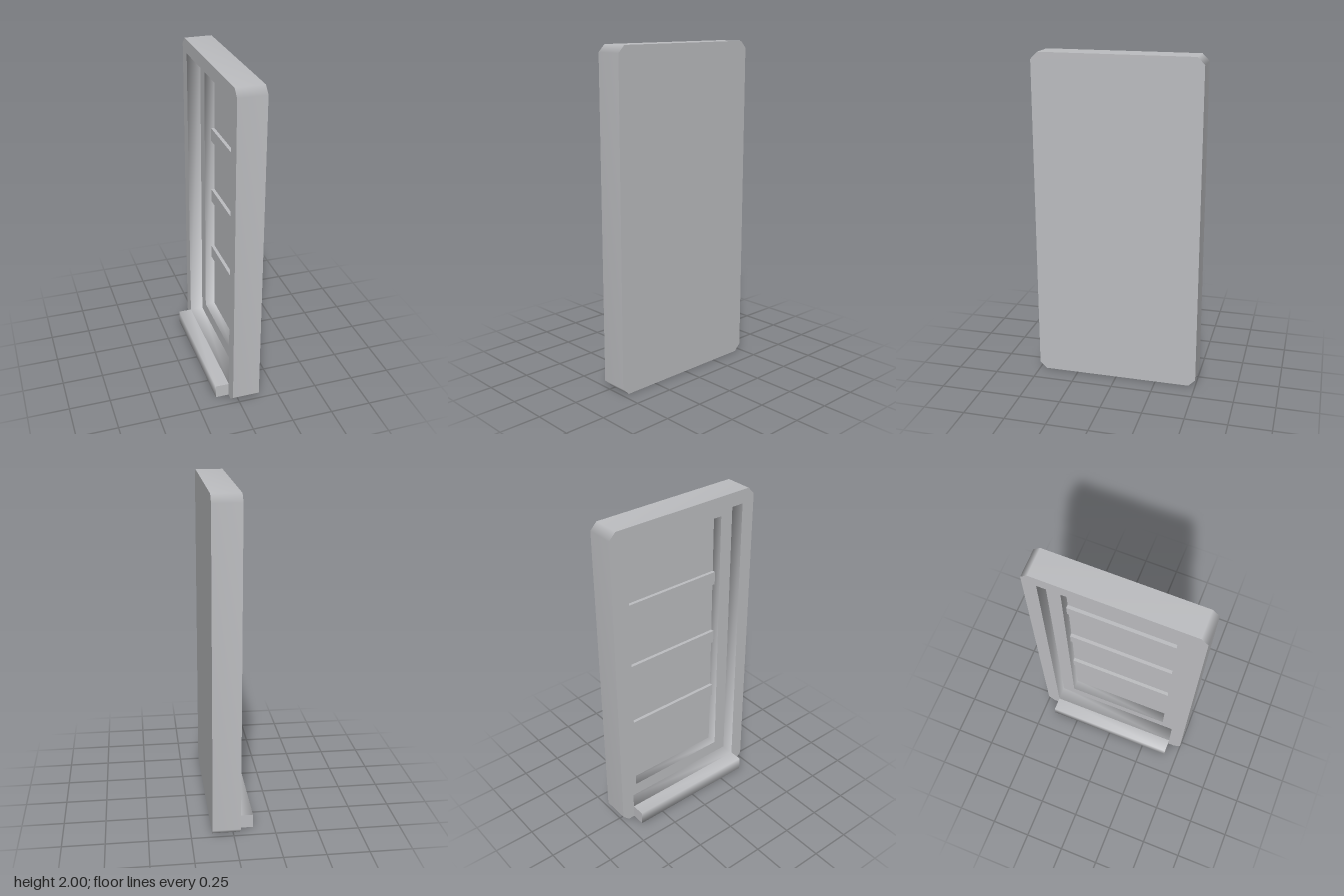
import * as THREE from 'three';

const U = 1 / 24; // modelling unit: the panel is 48 units tall
const grey = new THREE.MeshStandardMaterial({ color: 0xbcbdc0 });
grey.name = 'light grey';

// Outline in the (z, y) plane, counter-clockwise, with optional cut corners
function outline(halfWidth, bottom, top, cut = 0) {
  const w = halfWidth, c = cut;
  if (!c) return [[-w, bottom], [w, bottom], [w, top], [-w, top]];
  return [
    [-w + c, bottom], [w - c, bottom], [w, bottom + c], [w, top - c],
    [w - c, top], [-w + c, top], [-w, top - c], [-w, bottom + c],
  ];
}

const toVectors = (pts) => pts.map(([u, v]) => new THREE.Vector2(u, v));

// Flat face at a given x, looking along -x (side -1) or +x (side 1)
function face(pts, x, side, hole) {
  const shape = new THREE.Shape(toVectors(pts));
  if (hole) shape.holes.push(new THREE.Path(toVectors(hole)));
  const g = new THREE.ShapeGeometry(shape);
  g.rotateY(side * Math.PI / 2);
  g.translate(x, 0, 0);
  return g;
}

// Smooth band following a closed outline from xa to xb (xa < xb)
function wall(pts, xa, xb, inward) {
  const pos = [], idx = [], n = pts.length;
  for (const [u, v] of pts) pos.push(xa, v, u, xb, v, u);
  for (let i = 0; i < n; i++) {
    const a = 2 * i, b = a + 1, c = 2 * ((i + 1) % n), d = c + 1;
    if (inward) idx.push(a, c, b, b, c, d);
    else idx.push(a, b, c, b, d, c);
  }
  const g = new THREE.BufferGeometry();
  g.setAttribute('position', new THREE.Float32BufferAttribute(pos, 3));
  g.setIndex(idx);
  g.computeVertexNormals();
  return g;
}

// Lip: smooth strip round bottom, outer side and top, between the two ends
function lipStrip(xIn, xOut, height, halfWidth) {
  const profile = [[xIn, 0], [xOut, 0], [xOut, height], [xIn, height]];
  const pos = [], idx = [];
  for (const [x, y] of profile) pos.push(x, y, -halfWidth, x, y, halfWidth);
  for (let i = 0; i < 3; i++) {
    const a = 2 * i;
    idx.push(a, a + 2, a + 1, a + 1, a + 2, a + 3);
  }
  const g = new THREE.BufferGeometry();
  g.setAttribute('position', new THREE.Float32BufferAttribute(pos, 3));
  g.setIndex(idx);
  g.computeVertexNormals();
  // make sure the strip faces outwards (bottom faces down)
  if (g.attributes.normal.getY(0) > 0) {
    g.setIndex(idx.map((_, k) => idx[k - (k % 3) + 2 - (k % 3)]));
    g.computeVertexNormals();
  }
  return g;
}

export function createModel() {
  const model = new THREE.Group();
  model.name = 'panel';
  const add = (name, geometry, parent = model) => {
    const mesh = new THREE.Mesh(geometry, grey);
    mesh.name = name;
    parent.add(mesh);
    return mesh;
  };

  const outer = outline(12 * U, 0, 48 * U, U);
  const recess = outline(10 * U, 2 * U, 46 * U);
  const opening = outline(8 * U, 4 * U, 44 * U);
  const xFront = -U, xStep = U, xPanel = 2.5 * U, xBack = 3 * U;

  // Outer shell
  const frame = new THREE.Group();
  frame.name = 'frame';
  model.add(frame);
  add('frameSides', wall(outer, xFront, xBack, false), frame);
  add('frameRim', face(outer, xFront, -1, recess), frame);
  add('flatPanel', face(outer, xBack, 1), frame);

  // Stepped recess
  add('recessWalls', wall(recess, xFront, xStep, true), frame);
  add('innerRim', face(recess, xStep, -1, opening), frame);
  add('openingWalls', wall(opening, xStep, xPanel, true), frame);
  add('innerPanel', face(opening, xPanel, -1), frame);

  // Cross bars on the inner panel
  for (const y of [14, 24, 34]) {
    const bar = add('crossBar', new THREE.BoxGeometry(U / 2, 2 * U, 16 * U));
    bar.position.set(xPanel - U / 4, y * U, 0);
  }

  // Bottom lip with its two ends
  const lip = new THREE.Group();
  lip.name = 'bottomLip';
  model.add(lip);
  add('lipSurface', lipStrip(-U, -3 * U, 2 * U, 10 * U), lip);
  for (const s of [-1, 1]) {
    const end = add('lipEnd', new THREE.PlaneGeometry(2 * U, 2 * U), lip);
    end.position.set(-2 * U, U, s * 10 * U);
    if (s < 0) end.rotation.y = Math.PI;
  }
  return model;
}
